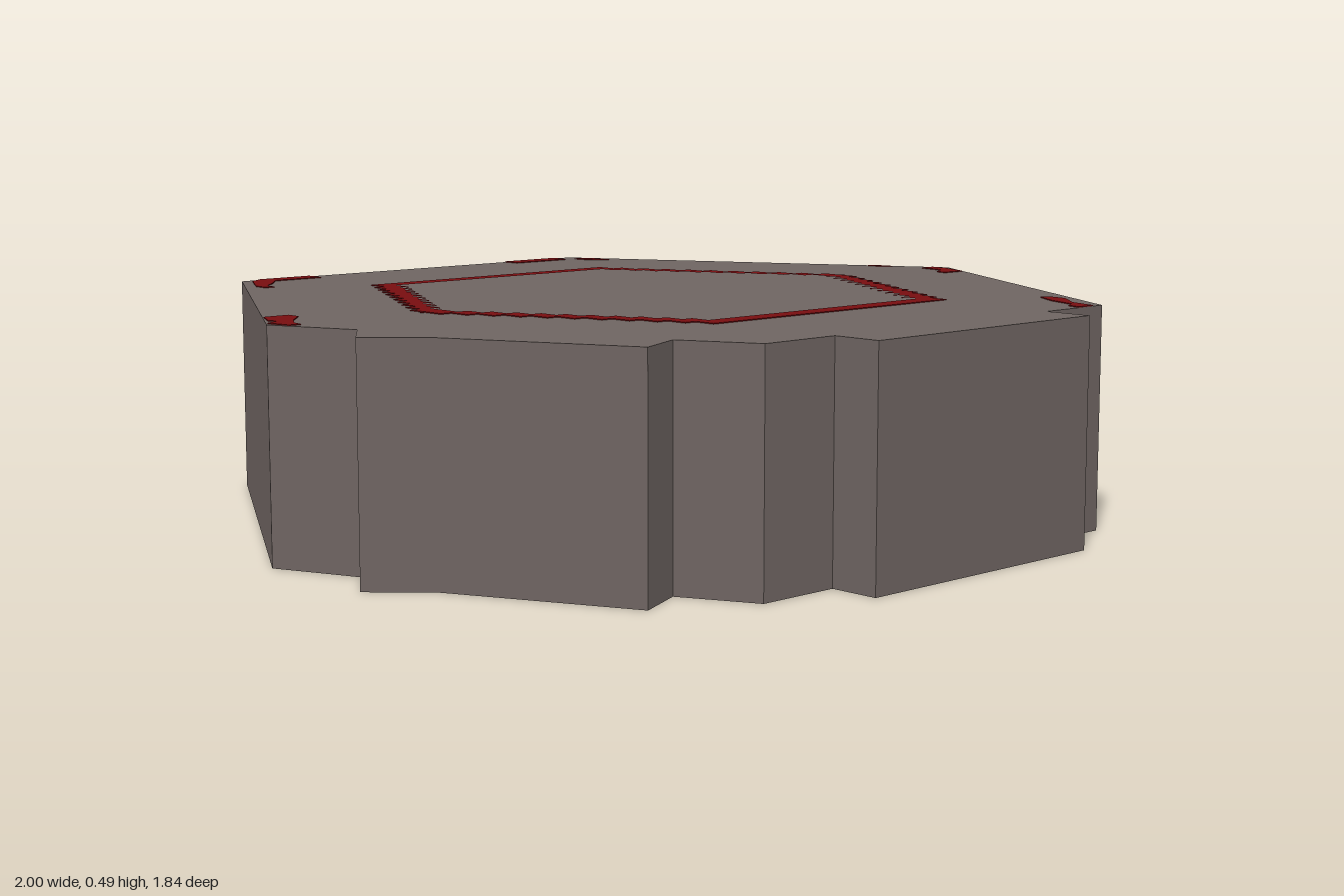
import * as THREE from 'three';

const HEIGHT = 0.487;

// Notched hexagonal outline as [x, z], clockwise seen from above
const OUTLINE = [
  [-0.51, -0.92], [0.51, -0.92], [1, -0.03], [0.51, 0.805], [0.32, 0.805],
  [0.32, 0.915], [-0.325, 0.915], [-0.325, 0.805], [-0.513, 0.805], [-0.594, 0.645],
  [-0.706, 0.697], [-0.893, 0.316], [-1, 0.21], [-0.92, 0.105], [-1, -0.085],
];

// Worn paint patches around the rim as [x, z]
const PATCHES = {
  backRight: [[-0.46, -0.919], [-0.32, -0.919], [-0.32, -0.87], [-0.45, -0.87], [-0.49, -0.82], [-0.54, -0.77],
    [-0.54, -0.74], [-0.565, -0.74], [-0.563, -0.78], [-0.535, -0.83], [-0.5, -0.89]],
  backLeft: [[0.29, -0.919], [0.455, -0.919], [0.455, -0.87], [0.29, -0.87]],
  backLeftChip: [[0.485, -0.87], [0.52, -0.855], [0.535, -0.79], [0.515, -0.79], [0.49, -0.83]],
  right: [[-0.93, -0.2], [-0.87, -0.2], [-0.87, -0.165], [-0.92, -0.11], [-0.945, -0.07], [-0.95, -0.04],
    [-0.978, -0.04], [-0.988, -0.1], [-0.955, -0.115], [-0.96, -0.14]],
  leftChip: [[0.89, -0.2], [0.905, -0.19], [0.915, -0.14], [0.895, -0.16]],
  left: [[0.93, -0.055], [0.97, -0.055], [0.97, -0.015], [0.935, 0.07], [0.87, 0.07], [0.875, 0.04], [0.92, 0.015]],
  frontLeft: [[0.545, 0.615], [0.565, 0.62], [0.56, 0.67], [0.5, 0.735], [0.48, 0.804], [0.43, 0.804],
    [0.44, 0.77], [0.47, 0.755], [0.5, 0.68], [0.52, 0.65]],
};

const toPoints = (list) => list.map(([x, z]) => new THREE.Vector2(x, -z));

// Hexagon whose slanted sides are cut into small stair steps
function steppedHexagon(corner, tip, back, front, steps = 11) {
  const middle = (back + front) / 2;
  const corners = [[-corner, back], [corner, back], [tip, middle], [corner, front], [-corner, front], [-tip, middle]];
  const points = [];
  corners.forEach((a, k) => {
    const b = corners[(k + 1) % 6];
    points.push(a);
    if (a[1] === b[1]) return;
    for (let i = 0; i < steps; i++) {
      const x = THREE.MathUtils.lerp(a[0], b[0], (i + 0.5) / steps);
      points.push([x, THREE.MathUtils.lerp(a[1], b[1], i / steps)]);
      points.push([x, THREE.MathUtils.lerp(a[1], b[1], (i + 1) / steps)]);
    }
  });
  return toPoints(points);
}

// Vertical walls following the outline, flat shaded and open below
function wallGeometry() {
  const positions = [];
  OUTLINE.forEach(([ax, az], i) => {
    const [bx, bz] = OUTLINE[(i + 1) % OUTLINE.length];
    positions.push(ax, 0, az, ax, HEIGHT, az, bx, HEIGHT, bz);
    positions.push(ax, 0, az, bx, HEIGHT, bz, bx, 0, bz);
  });
  const geometry = new THREE.BufferGeometry();
  geometry.setAttribute('position', new THREE.Float32BufferAttribute(positions, 3));
  geometry.computeVertexNormals();
  return geometry;
}

export function createModel() {
  const stone = new THREE.MeshStandardMaterial({ color: 0x6e6461, side: THREE.DoubleSide });
  stone.name = 'greyStone';
  const paint = new THREE.MeshStandardMaterial({ color: 0x780d10 });
  paint.name = 'darkRedPaint';

  const group = new THREE.Group();
  group.name = 'hexagonalPlatform';
  const add = (name, geometry, material) => {
    const mesh = new THREE.Mesh(geometry, material);
    mesh.name = name;
    group.add(mesh);
  };

  // Hollow shell
  add('sideWalls', wallGeometry(), stone);
  const top = new THREE.ShapeGeometry(new THREE.Shape(toPoints(OUTLINE)));
  top.rotateX(-Math.PI / 2).translate(0, HEIGHT, 0);
  add('topPlate', top, stone);

  // Paint is a thin plate showing on both faces of the top
  const addPaint = (name, shape) => {
    const plate = new THREE.ExtrudeGeometry(shape, { depth: 0.004, bevelEnabled: false });
    plate.rotateX(-Math.PI / 2).translate(0, HEIGHT - 0.002, 0);
    add(name, plate, paint);
  };
  const ring = new THREE.Shape(steppedHexagon(0.34, 0.645, -0.622, 0.508));
  ring.holes.push(new THREE.Path(steppedHexagon(0.305, 0.595, -0.573, 0.457)));
  addPaint('paintedRing', ring);
  for (const [name, points] of Object.entries(PATCHES)) {
    addPaint(`${name}PaintPatch`, new THREE.Shape(toPoints(points)));
  }
  return group;
}
